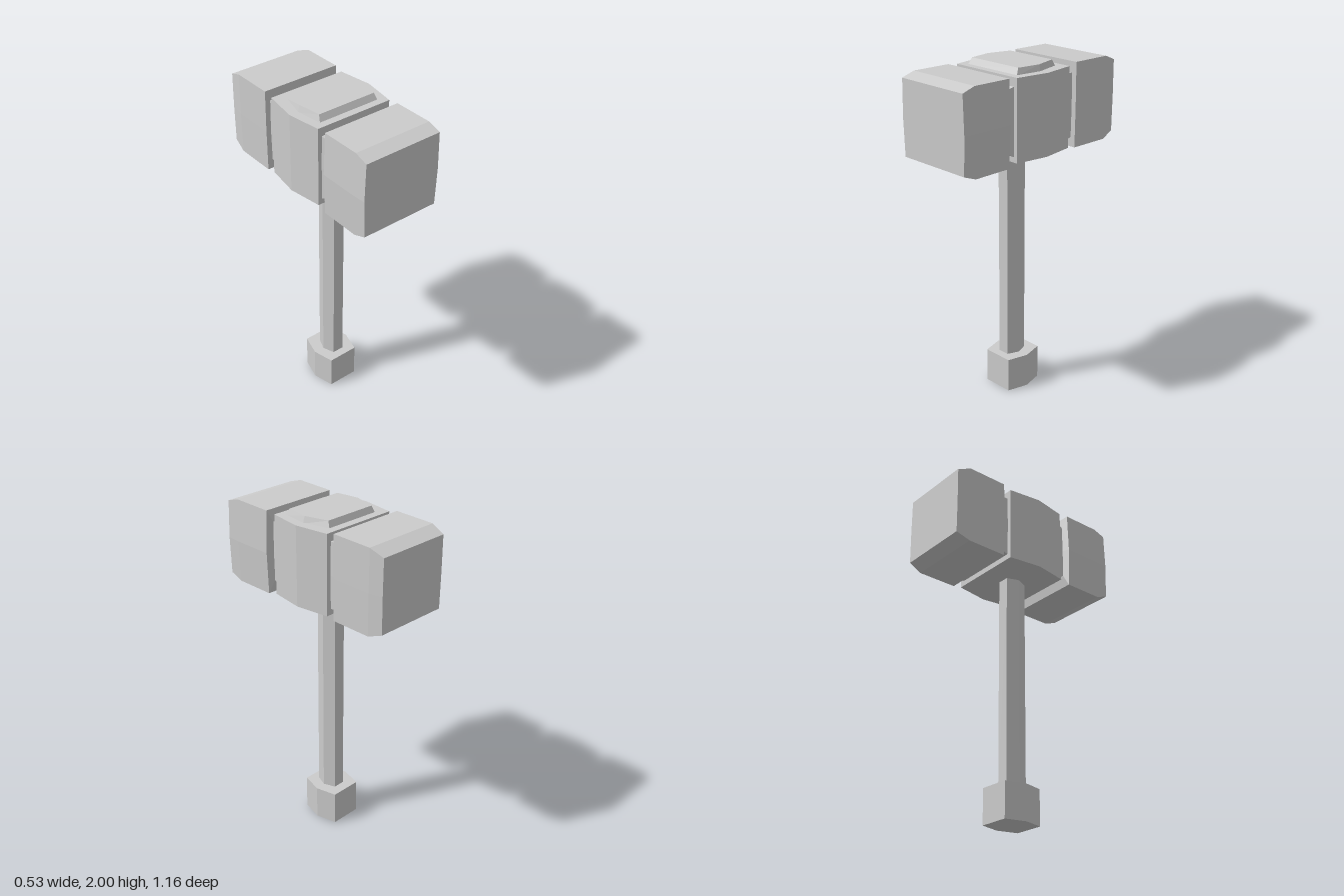
import * as THREE from 'three';

const material = new THREE.MeshStandardMaterial({ color: 0xcccccc, flatShading: true });

// Six-sided section: at = place along the axis, lo..hi = extent across it,
// then half widths in x at lo, middle and hi.
function section([at, lo, hi, wLo, wMid, wHi]) {
  const mid = (lo + hi) / 2;
  return [[wLo, lo], [wMid, mid], [wHi, hi], [-wHi, hi], [-wMid, mid], [-wLo, lo]]
    .map(([x, t]) => new THREE.Vector3(x, t, at));
}

// Closed faceted solid through sections along +z, or along +y when upright (lo is then the front side as -z).
function loft(name, rows, upright = false) {
  const rings = rows.map(section);
  const points = [];
  for (let k = 0; k < rings.length - 1; k++) {
    const a = rings[k], b = rings[k + 1];
    for (let i = 0; i < 6; i++) {
      const j = (i + 1) % 6;
      points.push(a[i], a[j], b[j], a[i], b[j], b[i]);
    }
  }
  const first = rings[0], last = rings[rings.length - 1];
  for (let i = 1; i < 5; i++) {
    points.push(first[0], first[i + 1], first[i], last[0], last[i], last[i + 1]);
  }
  const geometry = new THREE.BufferGeometry().setFromPoints(points);
  if (upright) geometry.rotateX(-Math.PI / 2);
  geometry.computeVertexNormals();
  const mesh = new THREE.Mesh(geometry, material);
  mesh.name = name;
  return mesh;
}

export function createModel() {
  const model = new THREE.Group();
  model.name = 'hammer';

  // Shaft and end weight
  model.add(
    loft('pommel', [
      [0, -0.13, 0.12, 0.093, 0.125, 0.093],
      [0.21, -0.13, 0.12, 0.093, 0.125, 0.093],
    ], true),
    loft('handle', [
      [0.2, -0.08, 0.06, 0.035, 0.062, 0.035],
      [1.52, -0.08, 0.06, 0.035, 0.062, 0.035],
    ], true),
  );

  // Centre of the head with its raised cap
  model.add(
    loft('headCentre', [
      [1.5, -0.2, 0.2, 0.235, 0.265, 0.235],
      [1.965, -0.2, 0.2, 0.235, 0.265, 0.235],
    ], true),
    loft('topCap', [
      [1.96, -0.16, 0.155, 0.191, 0.212, 0.172],
      [2, -0.138, 0.137, 0.18, 0.2, 0.162],
    ], true),
  );

  // Necks between the centre and the striking blocks
  model.add(
    loft('frontNeck', [
      [0.19, 1.525, 1.917, 0.213, 0.215, 0.213],
      [0.252, 1.56, 1.9, 0.2, 0.203, 0.2],
    ]),
    loft('backNeck', [
      [-0.26, 1.55, 1.917, 0.207, 0.21, 0.207],
      [-0.19, 1.53, 1.917, 0.207, 0.21, 0.207],
    ]),
  );

  // Striking blocks, bevelled towards their outer ends
  model.add(
    loft('frontBlock', [
      [0.248, 1.56, 1.9, 0.2, 0.203, 0.2],
      [0.26, 1.485, 1.972, 0.238, 0.247, 0.238],
      [0.5, 1.485, 1.975, 0.238, 0.247, 0.238],
      [0.58, 1.515, 1.95, 0.238, 0.245, 0.238],
    ]),
    loft('backBlock', [
      [-0.585, 1.522, 1.943, 0.225, 0.227, 0.225],
      [-0.5, 1.49, 1.977, 0.237, 0.239, 0.237],
      [-0.252, 1.492, 1.98, 0.238, 0.24, 0.238],
    ]),
  );
  return model;
}
